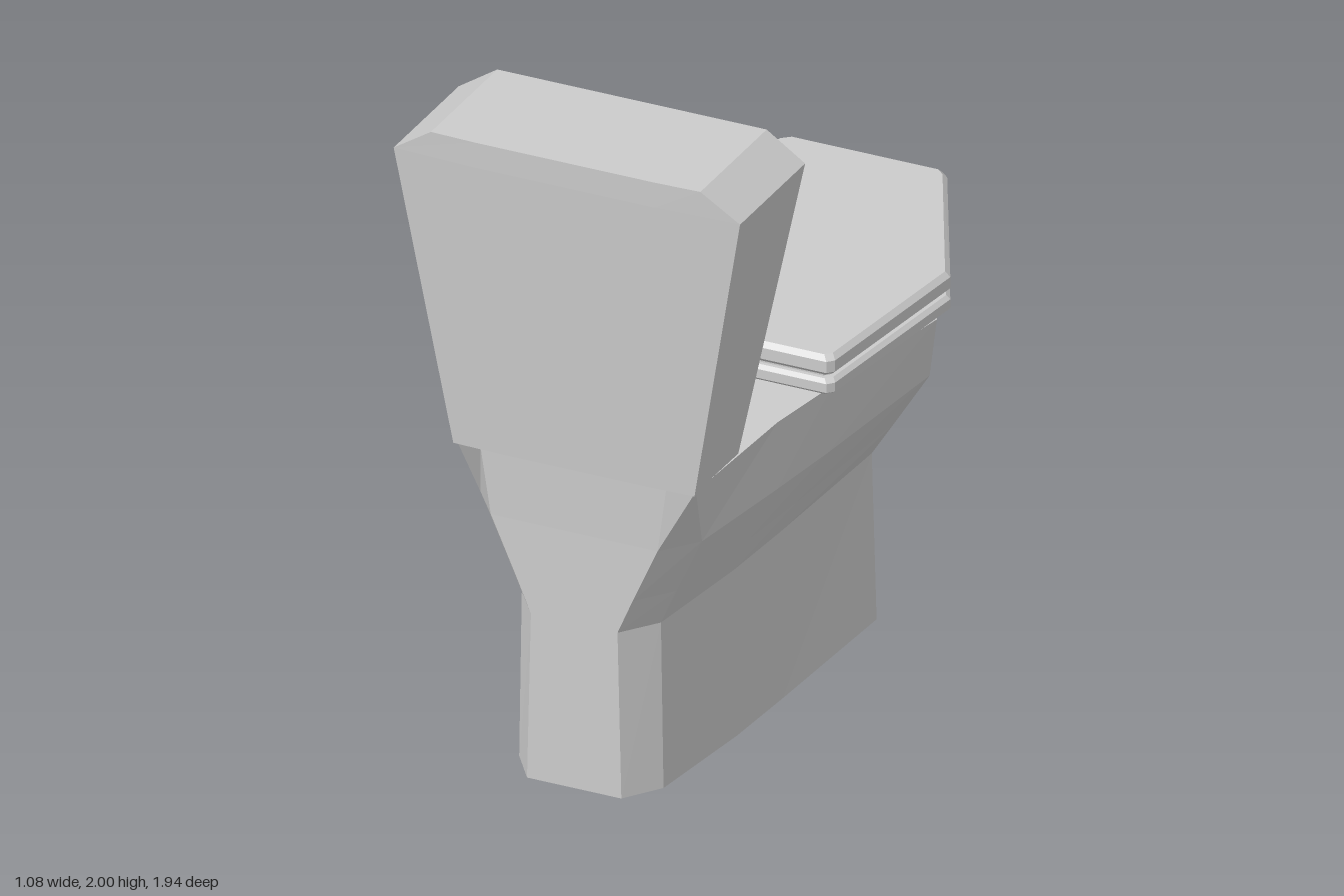
import * as THREE from 'three';

const material = new THREE.MeshStandardMaterial({ color: 0xcccccc, flatShading: true });

// Skins stacked rings. Each row lists the +x half of a ring as [x, y, z],
// from the -z end to the +z end; the other half is mirrored.
function loft(name, rows) {
  const half = rows[0].length;
  const n = half * 2;
  const pos = [];
  const index = [];
  for (const row of rows) {
    for (const p of row) pos.push(...p);
    for (const [x, y, z] of [...row].reverse()) pos.push(-x, y, z);
  }
  for (let k = 0; k < rows.length - 1; k++) {
    for (let i = 0; i < n; i++) {
      const a = k * n + i, b = k * n + (i + 1) % n;
      index.push(a, a + n, b, b, a + n, b + n);
    }
  }
  // Bottom and top caps, as strips between mirrored points
  const top = (rows.length - 1) * n;
  for (let i = 0; i < half - 1; i++) {
    const l = n - 1 - i;
    index.push(i, i + 1, l, i + 1, l - 1, l);
    index.push(top + i, top + l, top + i + 1, top + i + 1, top + l, top + l - 1);
  }
  const geo = new THREE.BufferGeometry();
  geo.setAttribute('position', new THREE.Float32BufferAttribute(pos, 3));
  geo.setIndex(index);
  const flat = geo.toNonIndexed();
  flat.computeVertexNormals();
  const mesh = new THREE.Mesh(flat, material);
  mesh.name = name;
  return mesh;
}

const level = (y, points) => points.map(([x, z]) => [x, y, z]);

// Seat and lid share one outline, inset by a distance at each height
const seatOutline = [[0.235, -0.967], [0.26, -0.945], [0.535, -0.4], [0.468, 0.2], [0.45, 0.22]];
const slab = (name, steps) => loft(name, steps.map(([y, inset]) =>
  level(y, seatOutline.map(([x, z]) => [x * (1 - inset / 0.5), -0.375 + (z + 0.375) * (1 - inset / 0.6)]))));

export function createModel() {
  const group = new THREE.Group();
  group.name = 'toilet';

  // Pedestal flaring into the bowl and rear deck
  group.add(loft('bowl', [
    level(0, [[0.147, -0.69], [0.31, -0.39], [0.285, 0.16], [0.27, 0.42], [0.225, 0.8], [0.147, 0.91]]),
    level(0.52, [[0.135, -0.615], [0.295, -0.39], [0.275, 0.16], [0.26, 0.42], [0.217, 0.8], [0.135, 0.91]]),
    level(0.63, [[0.15, -0.65], [0.365, -0.39], [0.33, 0.16], [0.31, 0.42], [0.265, 0.8], [0.182, 0.91]]),
    level(0.805, [[0.22, -0.857], [0.475, -0.39], [0.425, 0.16], [0.395, 0.42], [0.345, 0.8], [0.26, 0.91]]),
    [[0.235, 0.988, -0.92], [0.498, 0.988, -0.39], [0.435, 1.015, 0.15],
      [0.395, 1.015, 0.42], [0.375, 1.015, 0.9], [0.29, 1.015, 0.915]],
  ]));

  // Cistern, widening upward, with chamfered front corners and top
  group.add(loft('tank', [
    level(1.005, [[0.22, 0.565], [0.378, 0.64], [0.376, 0.912], [0.22, 0.917]]),
    level(1.92, [[0.29, 0.465], [0.54, 0.54], [0.54, 0.957], [0.28, 0.968]]),
    level(2, [[0.3, 0.54], [0.42, 0.54], [0.42, 0.965], [0.28, 0.97]]),
  ]));

  // Seat with its spacer below, then the closed lid
  group.add(slab('seatSpacer', [[0.97, 0.07], [1.02, 0.06]]));
  group.add(slab('seat', [[1.015, 0.015], [1.027, 0], [1.055, 0], [1.066, 0.012]]));
  group.add(slab('lidGap', [[1.06, 0.025], [1.085, 0.025]]));
  group.add(slab('lid', [[1.078, 0.012], [1.09, 0], [1.125, 0], [1.14, 0.015]]));

  return group;
}
